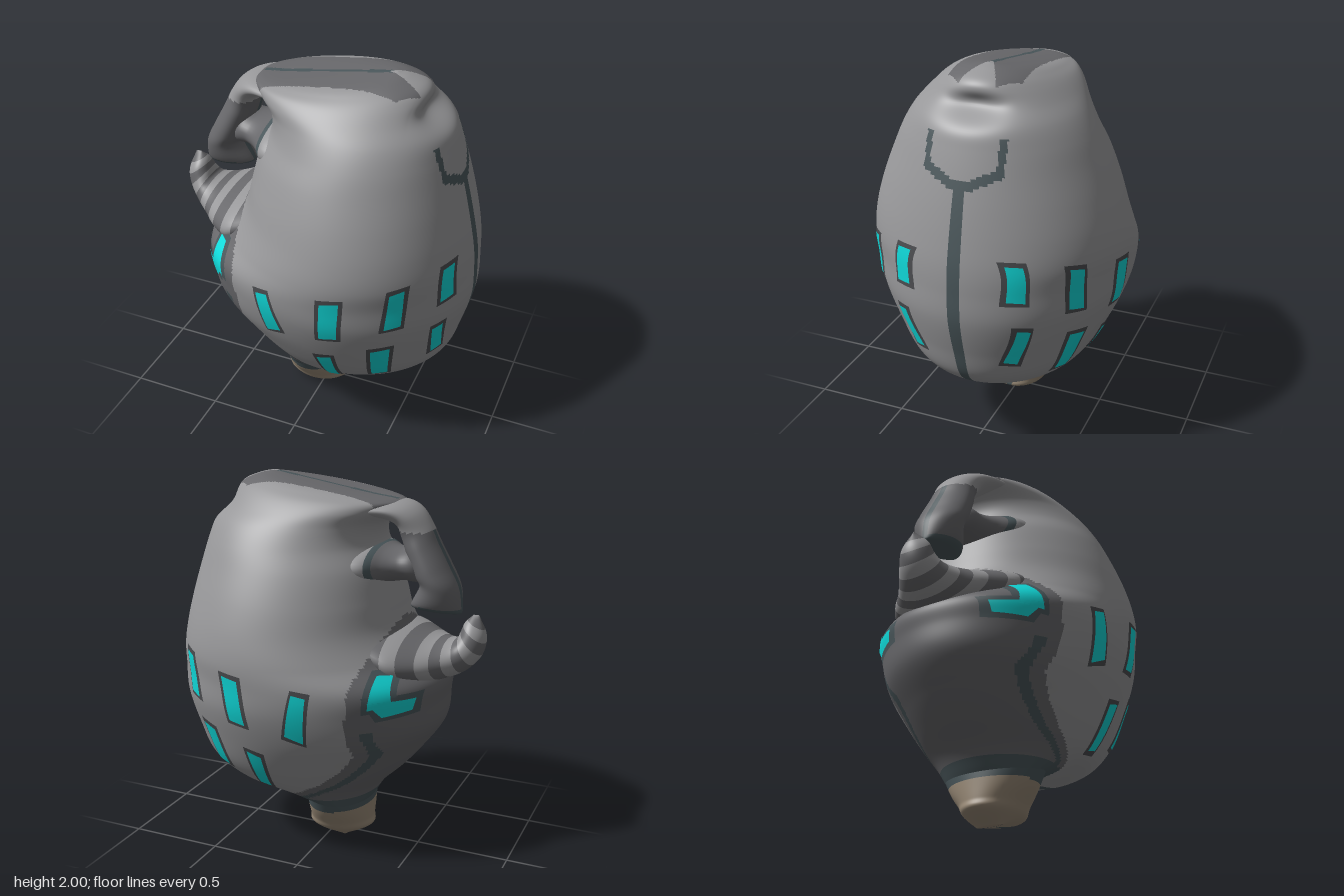
import * as THREE from 'three';

const mat = (name, color) => {
  const m = new THREE.MeshStandardMaterial({ color });
  m.name = name;
  return m;
};

// Smooth row curves: each row is [xl, yl, xr, yr, halfDepth]
function makeRows(rows) {
  const left = new THREE.CatmullRomCurve3(rows.map(r => new THREE.Vector3(r[0], r[1], r[4])), false, 'catmullrom', 0.5);
  const right = new THREE.CatmullRomCurve3(rows.map(r => new THREE.Vector3(r[2], r[3], 0)), false, 'catmullrom', 0.5);
  return v => {
    const l = left.getPoint(v), r = right.getPoint(v);
    return { xl: l.x, yl: l.y, xr: r.x, yr: r.y, d: Math.max(l.z, 0) };
  };
}

const MID = 0.52; // widest place along a row

// Loft egg-shaped sections; pick(x, y, z, v) gives the material index of a face,
// dent(x, y, z) moves a point inwards along x
function loft(rowAt, nv, na, pick, materials, name, dent = () => 0) {
  const pos = [], lists = materials.map(() => []);
  for (let i = 0; i <= nv; i++) {
    const r = rowAt(i / nv);
    for (let j = 0; j < na; j++) {
      const a = j / na * Math.PI * 2, c = Math.cos(a);
      const s = MID + c * (c > 0 ? 1 - MID : MID);
      const x = r.xl + (r.xr - r.xl) * s, y = r.yl + (r.yr - r.yl) * s, z = r.d * Math.sin(a);
      pos.push(x - dent(x, y, z), y, z);
    }
  }
  for (let i = 0; i < nv; i++) for (let j = 0; j < na; j++) {
    const a = i * na + j, b = i * na + (j + 1) % na, c = a + na, d = b + na;
    const mid = k => (pos[a * 3 + k] + pos[b * 3 + k] + pos[c * 3 + k] + pos[d * 3 + k]) / 4;
    lists[pick(mid(0), mid(1), mid(2), (i + 0.5) / nv)].push(a, c, b, b, c, d);
  }
  const g = new THREE.BufferGeometry();
  g.setAttribute('position', new THREE.Float32BufferAttribute(pos, 3));
  g.setIndex(lists.flat());
  let start = 0;
  lists.forEach((l, k) => { g.addGroup(start, l.length, k); start += l.length; });
  g.computeVertexNormals();
  const m = new THREE.Mesh(g, materials);
  m.name = name;
  return m;
}

const bodyRow = makeRows([
  [-.23, .24, .13, .27, .275], [-.3, .35, .32, .31, .345], [-.42, .47, .56, .36, .43],
  [-.52, .59, .71, .47, .51], [-.62, .74, .775, .65, .595], [-.635, .88, .82, .84, .655],
  [-.63, 1.0, .82, 1.0, .675], [-.5, 1.12, .81, 1.12, .675], [-.41, 1.25, .785, 1.25, .65],
  [-.37, 1.4, .75, 1.4, .605], [-.33, 1.55, .71, 1.55, .545], [-.27, 1.67, .675, 1.67, .487],
  [-.28, 1.765, .645, 1.765, .43], [-.35, 1.835, .60, 1.84, .37], [-.38, 1.87, .55, 1.91, .315],
  [-.36, 1.885, .5, 1.955, .265], [-.32, 1.893, .42, 1.985, .21], [-.28, 1.898, .37, 1.996, .12],
  [-.25, 1.9, .35, 2.0, 0],
]);

// Half depth of the body at (x, y)
function depthAt(x, y) {
  let lo = 0, hi = 1;
  for (let k = 0; k < 30; k++) {
    const v = (lo + hi) / 2, r = bodyRow(v);
    const s = (x - r.xl) / (r.xr - r.xl);
    if (r.yl + (r.yr - r.yl) * s < y) lo = v; else hi = v;
  }
  const r = bodyRow(lo), s = (x - r.xl) / (r.xr - r.xl);
  const c = (s - MID) / (s > MID ? 1 - MID : MID);
  return r.d * Math.sqrt(Math.max(0, 1 - c * c));
}

// Thin four-cornered plate (TL, TR, BR, BL) wrapped onto the body on one side
function plate(q, lift, side, material, name) {
  const n = 8, pos = [], idx = [], e = 0.003;
  for (let i = 0; i <= n; i++) for (let j = 0; j <= n; j++) {
    const u = j / n, v = i / n;
    const at = k => (q[0][k] * (1 - u) + q[1][k] * u) * (1 - v) + (q[3][k] * (1 - u) + q[2][k] * u) * v;
    const x = at(0), y = at(1), z = depthAt(x, y);
    const nrm = new THREE.Vector3((depthAt(x - e, y) - depthAt(x + e, y)) / (2 * e),
      (depthAt(x, y - e) - depthAt(x, y + e)) / (2 * e), 1).normalize().multiplyScalar(lift);
    pos.push(x + nrm.x, y + nrm.y, (z + nrm.z) * side);
  }
  for (let i = 0; i < n; i++) for (let j = 0; j < n; j++) {
    const a = i * (n + 1) + j, b = a + 1, c = a + n + 1, d = c + 1;
    if (side > 0) idx.push(a, c, b, b, c, d); else idx.push(a, b, c, b, d, c);
  }
  const g = new THREE.BufferGeometry();
  g.setAttribute('position', new THREE.Float32BufferAttribute(pos, 3));
  g.setIndex(idx);
  g.computeVertexNormals();
  const m = new THREE.Mesh(g, material);
  m.name = name;
  return m;
}

const resize = (q, amount) => {
  const c = [0, 1].map(k => (q[0][k] + q[1][k] + q[2][k] + q[3][k]) / 4);
  return q.map(p => p.map((v, k) => v + (c[k] - v) * Math.min(0.35, amount / Math.max(1e-4, Math.abs(c[k] - v)))));
};

// Edge of the dark lower hull, as [y, x]
const hullEdge = [[.2, .14], [.31, .13], [.44, -.1], [.55, -.22], [.65, -.3], [.78, -.28], [1.05, -.31], [1.3, -.4]];
function hullX(y) {
  for (let i = 1; i < hullEdge.length; i++) {
    const [y0, x0] = hullEdge[i - 1], [y1, x1] = hullEdge[i];
    if (y <= y1) return x0 + (x1 - x0) * (y - y0) / (y1 - y0);
  }
  return -9;
}

export function createModel() {
  const grey = mat('light grey', 0x98989a), charcoal = mat('charcoal', 0x68686b);
  const slate = mat('slate', 0x4a575b), frame = mat('frame grey', 0x4c4d50);
  const teal = mat('teal', 0x10dada), tan = mat('tan', 0x9a8b78);
  const model = new THREE.Group();
  model.name = 'model';

  // Body with seam, side bracket, roof band, dark lower hull and a notch at the upper right
  model.add(loft(bodyRow, 180, 256, (x, y, z) => {
    const az = Math.abs(z);
    if (x > 0.13 && az < 0.026 && y < 1.53) return 2;
    if (x > 0.45 && ((Math.abs(az - .185) < .017 && y > 1.58 && y < 1.73) ||
      (az < .2 && Math.abs(y - 1.495 - .45 * az) < .025))) return 2;
    if (y > 1.84 && az < .19 && x < .5 - Math.max(0, az - .1) && !(x > .31 && az < (x - .31) * .5))
      return az < .016 && x > -.35 ? 2 : 1;
    const inside = hullX(y) - x;
    if (inside > 0) return inside > .07 && inside < .12 && y < .8 || y < .3 ? 2 : 1;
    return 0;
  }, [grey, charcoal, slate], 'body',
  (x, y, z) => x > .3 ? .09 * Math.exp(-(((y - 1.84) / .06) ** 2) - (z / .17) ** 2) * Math.min(1, (x - .3) / .2) : 0));

  // Stem
  const stemRow = makeRows([[-.11, 0, -.07, 0, .075], [-.228, .06, .12, .045, .145], [-.23, .11, .13, .1, .18],
    [-.23, .18, .13, .18, .235], [-.23, .29, .13, .29, .295]]);
  model.add(loft(stemRow, 40, 64, (x, y, z) => y > .205 || (x > 0 && Math.abs(z) < .022) ? 1 : 0, [tan, slate], 'stem'));
  const foot = new THREE.Mesh(new THREE.CircleGeometry(1, 32), tan);
  foot.name = 'stemFoot';
  foot.scale.set(.02, .075, 1);
  foot.rotation.x = Math.PI / 2;
  foot.position.set(-.09, .001, 0);
  model.add(foot);

  // Striped lower hook
  const hookRow = makeRows([[-.34, 1.02, -.32, 1.27, .38], [-.46, .97, -.42, 1.24, .37], [-.58, .98, -.54, 1.2, .28],
    [-.66, 1.0, -.62, 1.19, .2], [-.74, 1.04, -.68, 1.2, .14], [-.81, 1.12, -.7, 1.24, .1],
    [-.83, 1.22, -.72, 1.29, .07], [-.79, 1.33, -.76, 1.33, 0]]);
  model.add(loft(hookRow, 66, 56, (x, y, z, v) => Math.floor(v * 11) % 2, [charcoal, grey], 'hook'));

  // Upper arm and the flared bridge that joins it to the body
  const armRow = makeRows([[-.69, 1.325, -.45, 1.335, 0], [-.7, 1.345, -.43, 1.36, .1], [-.685, 1.46, -.48, 1.46, .14],
    [-.63, 1.57, -.46, 1.51, .15], [-.57, 1.68, -.41, 1.62, .14], [-.53, 1.76, -.38, 1.7, .13],
    [-.47, 1.84, -.36, 1.76, .15], [-.39, 1.88, -.3, 1.79, .18], [-.25, 1.89, -.22, 1.8, .22]]);
  model.add(loft(armRow, 50, 48, (x, y, z) => y > 1.74 ? 0 : y < 1.36 || Math.abs(z) < .018 ? 2 : 1,
    [grey, charcoal, slate], 'arm'));
  const bridgeRow = makeRows([[-.18, 1.43, -.16, 1.68, .33], [-.27, 1.45, -.25, 1.67, .29], [-.34, 1.47, -.32, 1.65, .2],
    [-.41, 1.48, -.38, 1.645, .15], [-.5, 1.48, -.46, 1.65, .12], [-.57, 1.56, -.57, 1.58, 0]]);
  model.add(loft(bridgeRow, 40, 40, (x, y, z, v) => v < .23 ? 0 : v < .31 ? 2 : 1, [grey, charcoal, slate], 'armBridge'));

  // Framed windows, mirrored front and back
  const windows = [
    [[-.145, 1.02], [-.05, 1.035], [.02, .76], [-.1, .72]],
    [[.21, 1.07], [.345, 1.085], [.32, .8], [.19, .785]],
    [[.53, 1.13], [.62, 1.145], [.6, .88], [.495, .865]],
    [[.72, 1.18], [.77, 1.185], [.783, .96], [.72, .95]],
    [[.145, .635], [.265, .66], [.26, .39], [.165, .375]],
    [[.43, .735], [.555, .755], [.51, .475], [.4, .46]],
    [[.7, .83], [.757, .84], [.722, .59], [.665, .575]],
  ];
  // Bent window near the hook, made of two panes
  const bent = [
    [[-.46, 1.07], [-.4, 1.08], [-.385, .93], [-.48, .95]],
    [[-.565, .96], [-.385, .97], [-.44, .885], [-.55, .9]],
  ];
  for (const side of [1, -1]) {
    for (const q of windows) {
      model.add(plate(q, .004, side, frame, 'windowFrame'));
      model.add(plate(resize(q, .022), .008, side, teal, 'windowPane'));
    }
    for (const q of bent) {
      model.add(plate(resize(q, -.025), .004, side, slate, 'bentWindowFrame'));
      model.add(plate(q, .009, side, teal, 'bentWindowPane'));
    }
  }
  return model;
}
